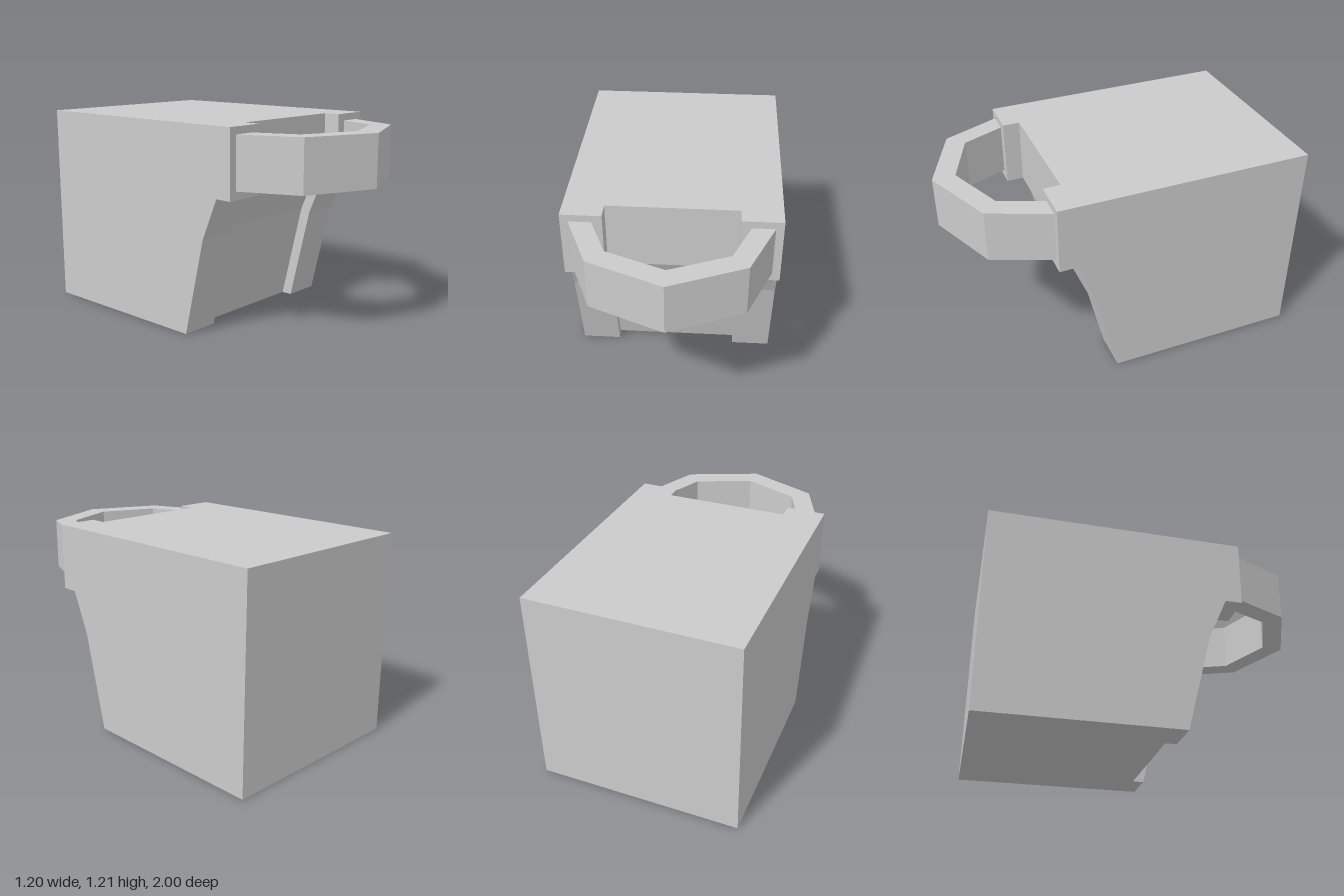
import * as THREE from 'three';

const material = new THREE.MeshStandardMaterial({ color: 0xcccccc, flatShading: true });

const extrude = (points, depth) => new THREE.ExtrudeGeometry(
  new THREE.Shape(points.map(([a, b]) => new THREE.Vector2(a, b))),
  { depth, bevelEnabled: false });

function addMesh(group, name, geometry) {
  const mesh = new THREE.Mesh(geometry, material);
  mesh.name = name;
  group.add(mesh);
}

// Slab with a (z, y) side profile, spanning x0 to x1
const slab = (profile, x0, x1) =>
  extrude(profile, x1 - x0).rotateY(-Math.PI / 2).translate(x1, 0, 0);

export function createModel() {
  const group = new THREE.Group();
  group.name = 'model';
  const halfWidth = 0.6, recess = 0.37, top = 1.21;

  // Side walls with projecting pads above tapering legs
  const sideProfile = [
    [-1, 0], [0.145, 0], [0.285, 0.575], [0.39, 0.82], [0.49, 0.82], [0.49, top], [-1, top],
  ];
  addMesh(group, 'leftWall', slab(sideProfile, recess, halfWidth));
  addMesh(group, 'rightWall', slab(sideProfile, -halfWidth, -recess));

  // Recessed middle of the body
  const coreProfile = [
    [-1, 0], [0.078, 0], [0.222, 0.592], [0.32, 0.82], [0.39, 0.82], [0.39, top], [-1, top],
  ];
  addMesh(group, 'bodyCore', slab(coreProfile, -recess, recess));

  // Angular handle band, outlined in (x, z)
  const outer = [[0.555, 0.49], [0.415, 0.825], [0, 1], [-0.415, 0.825], [-0.555, 0.49]];
  const inner = [[-0.428, 0.49], [-0.327, 0.735], [0, 0.87], [0.327, 0.735], [0.428, 0.49]];
  addMesh(group, 'handle',
    extrude([...outer, ...inner], 0.3).rotateX(Math.PI / 2).translate(0, 1.168, 0));

  return group;
}
